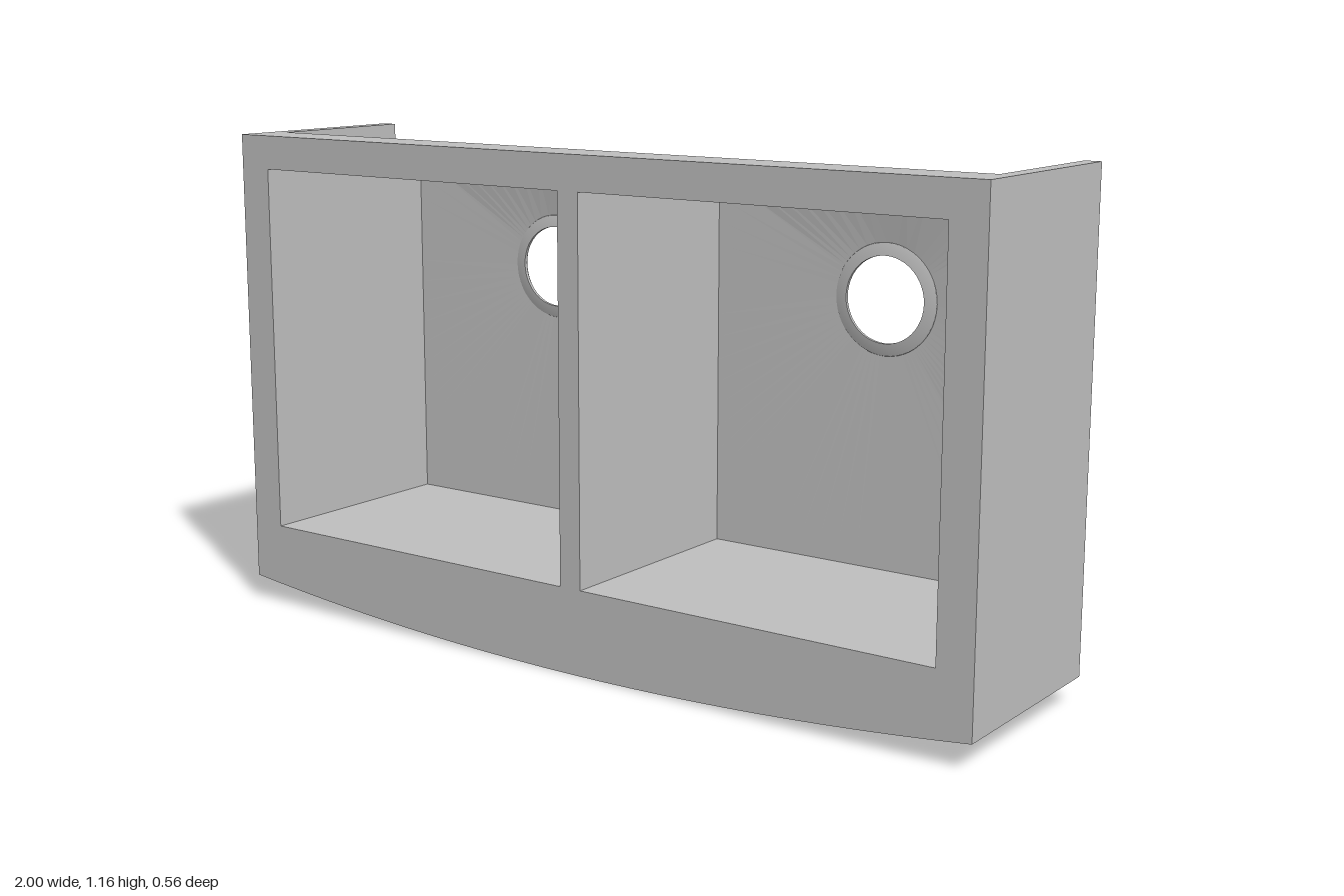
import * as THREE from 'three';

const FRONT = 0.283, FRAME_BACK = 0.17, SKIRT_BACK = -0.215, FLOOR = -0.258;
const TOP = 1.165, DRAIN_Y = 0.825, DRAIN_X = 0.472;
// Bowl rectangle for the +x side
const BOWL = { x0: 0.028, x1: 0.915, y0: 0.2, y1: 1.085 };

// Bowed lower edge, from left to right
function bowedEdge() {
  const pts = [];
  for (let i = 0; i <= 24; i++) {
    const x = -1 + i / 12;
    pts.push(new THREE.Vector2(x, 0.06 * x * x));
  }
  return pts;
}

function extrude(shape, back, front) {
  const g = new THREE.ExtrudeGeometry(shape, { depth: front - back, bevelEnabled: false });
  return g.translate(0, 0, back);
}

// Walls and sloping floor, lofted from the rectangle to the drain circle
function bowlGeometry() {
  const { x0, x1, y0, y1 } = BOWL, n = 16, rim = [];
  const corners = [[x0, y0], [x1, y0], [x1, y1], [x0, y1]];
  corners.forEach(([ax, ay], k) => {
    const [bx, by] = corners[(k + 1) % 4];
    for (let i = 0; i < n; i++) rim.push([ax + (bx - ax) * i / n, ay + (by - ay) * i / n]);
  });
  const circle = rim.map(([x, y]) => {
    const a = Math.atan2(y - DRAIN_Y, x - DRAIN_X);
    return [DRAIN_X + 0.128 * Math.cos(a), DRAIN_Y + 0.128 * Math.sin(a)];
  });
  const rings = [[rim, FRAME_BACK], [rim, FLOOR], [circle, -0.273]];
  const pos = [], index = [], count = rim.length;
  rings.forEach(([ring, z]) => ring.forEach(([x, y]) => pos.push(x, y, z)));
  for (let r = 0; r < rings.length - 1; r++) {
    for (let i = 0; i < count; i++) {
      const a = r * count + i, b = r * count + (i + 1) % count;
      index.push(a, a + count, b, b, a + count, b + count);
    }
  }
  const g = new THREE.BufferGeometry();
  g.setAttribute('position', new THREE.Float32BufferAttribute(pos, 3));
  g.setIndex(index);
  const flat = g.toNonIndexed();
  flat.computeVertexNormals();
  return flat;
}

export function createModel() {
  const group = new THREE.Group();
  const steel = new THREE.MeshStandardMaterial({ color: 0xc0c0c0, side: THREE.DoubleSide });
  steel.name = 'grey';
  const add = (name, geometry, parent = group) => {
    const mesh = new THREE.Mesh(geometry, steel);
    mesh.name = name;
    parent.add(mesh);
    return mesh;
  };

  // Thick rim with two bowl openings
  const rim = new THREE.Shape([...bowedEdge(), new THREE.Vector2(1, TOP), new THREE.Vector2(-1, TOP)]);
  for (const [a, b] of [[BOWL.x0, BOWL.x1], [-BOWL.x1, -BOWL.x0]]) {
    rim.holes.push(new THREE.Path([
      new THREE.Vector2(a, BOWL.y0), new THREE.Vector2(a, BOWL.y1),
      new THREE.Vector2(b, BOWL.y1), new THREE.Vector2(b, BOWL.y0),
    ]));
  }
  add('rim', extrude(rim, FRAME_BACK, FRONT));

  // Bowed apron with thin side walls, open along the top
  const skirt = new THREE.Shape([
    ...bowedEdge(),
    ...[[1, TOP], [0.962, TOP], [0.962, 0.165], [-0.962, 0.165], [-0.962, TOP], [-1, TOP]]
      .map(([x, y]) => new THREE.Vector2(x, y)),
  ]);
  add('apronAndSides', extrude(skirt, SKIRT_BACK, FRAME_BACK));

  // Bowls with drain collars, mirrored about the middle
  const collarProfile = [[0.1, 0.266], [0.128, 0.27], [0.13, 0.274], [0.124, 0.28], [0.114, 0.282], [0.104, 0.28], [0.1, 0.274], [0.1, 0.266]]
    .map(([r, d]) => new THREE.Vector2(r, d));
  const bowl = bowlGeometry();
  const collar = new THREE.LatheGeometry(collarProfile, 48).rotateX(-Math.PI / 2);
  collar.translate(DRAIN_X, DRAIN_Y, 0);
  for (const side of [1, -1]) {
    const half = new THREE.Group();
    half.name = side > 0 ? 'leftBowl' : 'rightBowl';
    half.scale.x = side;
    add('bowlShell', bowl, half);
    add('drainCollar', collar, half);
    group.add(half);
  }
  return group;
}
